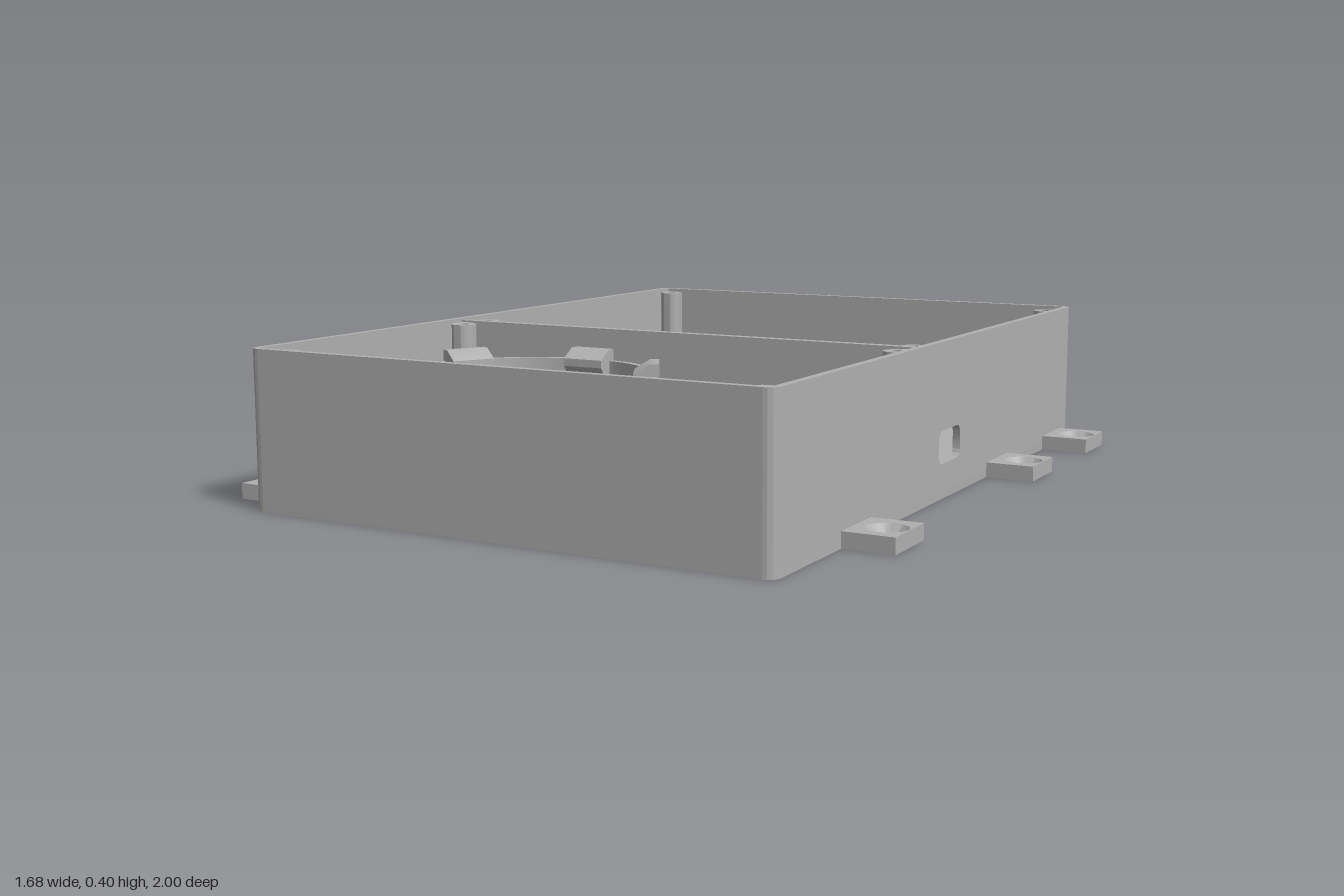
import * as THREE from 'three';
import { toCreasedNormals } from 'three/addons/utils/BufferGeometryUtils.js';

const W = 0.71, L = 1, H = 0.4, T = 0.02, R = 0.03, FLOOR = 0.02;

export function createModel() {
  const grey = new THREE.MeshStandardMaterial({ color: 0xb0b0b0 });
  grey.name = 'grey plastic';
  const model = new THREE.Group();
  model.name = 'enclosure';

  const add = (name, geo, x = 0, y = 0, z = 0, ry = 0) => {
    const mesh = new THREE.Mesh(toCreasedNormals(geo, 0.6), grey);
    mesh.name = name;
    mesh.position.set(x, y, z);
    mesh.rotation.y = ry;
    model.add(mesh);
    return mesh;
  };
  const extrude = (shape, depth) =>
    new THREE.ExtrudeGeometry(shape, { depth, bevelEnabled: false, curveSegments: 24 });
  // plan shape raised along y (shape y becomes -z)
  const raise = (shape, height) => extrude(shape, height).rotateX(-Math.PI / 2);

  const rounded = (x0, y0, x1, y1, r, Type = THREE.Shape) => {
    const s = new Type();
    s.absarc(x1 - r, y1 - r, r, 0, Math.PI / 2);
    s.absarc(x0 + r, y1 - r, r, Math.PI / 2, Math.PI);
    s.absarc(x0 + r, y0 + r, r, Math.PI, Math.PI * 1.5);
    s.absarc(x1 - r, y0 + r, r, Math.PI * 1.5, Math.PI * 2);
    s.closePath();
    return s;
  };
  const rect = (x0, y0, x1, y1, Type = THREE.Shape) => {
    const s = new Type();
    s.moveTo(x0, y0).lineTo(x1, y0).lineTo(x1, y1).lineTo(x0, y1).closePath();
    return s;
  };
  const circle = (x, y, r, Type = THREE.Path) => {
    const s = new Type();
    s.absarc(x, y, r, 0, Math.PI * 2);
    return s;
  };
  const withHoles = (shape, ...holes) => {
    shape.holes.push(...holes);
    return shape;
  };

  // Floor
  add('floor', raise(rounded(-W, -L, W, L, R), FLOOR));

  // Walls with their openings
  const wall = (half, ...holes) => extrude(withHoles(rect(-half, FLOOR, half, H), ...holes), T);
  const side = L - R, end = W - R;
  add('frontWall', wall(end), 0, 0, L - T);
  add('backWall', wall(end, rect(-0.28, 0.085, -0.14, 0.21, THREE.Path)), 0, 0, -L);
  add('leftWall', wall(side, rounded(-0.085, 0.09, 0.065, 0.175, 0.025, THREE.Path)),
    W - T, 0, 0, Math.PI / 2);
  add('rightWall', wall(side, circle(0.01, 0.185, 0.042), circle(-0.6, 0.09, 0.036)),
    -W, 0, 0, Math.PI / 2);
  add('divider', extrude(withHoles(rect(-W + T, FLOOR, W - T, H - 0.005), circle(0.4, 0.155, 0.055)), 0.025),
    0, 0, 0.15);

  // Rounded corners and screw posts share the same quarter turns
  const turn = (sx, sz) => (sz < 0 ? (sx > 0 ? 0 : Math.PI / 2) : (sx > 0 ? -Math.PI / 2 : Math.PI));
  const corner = new THREE.Shape();
  corner.absarc(0, 0, R, 0, Math.PI / 2);
  corner.absarc(0, 0, R - T, Math.PI / 2, 0, true);
  corner.closePath();
  const post = new THREE.Shape();
  post.absarc(0, 0, 0.034, Math.PI / 2, Math.PI * 2);
  post.lineTo(0.05, 0).lineTo(0.05, 0.05).lineTo(0, 0.05).closePath();
  post.holes.push(circle(0, 0, 0.014));
  for (const sx of [-1, 1]) {
    for (const sz of [-1, 1])
      add('corner', raise(corner, H - FLOOR), sx * end, FLOOR, sz * side, turn(sx, sz));
    for (const [z, sz] of [[-0.94, -1], [0.11, 1], [0.22, -1], [0.935, 1]])
      add('screwPost', raise(post, H - FLOOR - 0.01), sx * 0.648, FLOOR, z, turn(sx, sz));
  }

  // Mounting tabs with countersunk holes
  const tabs = [[1, -0.835], [1, -0.354], [1, 0.59], [-1, -0.835], [-1, -0.394], [-1, 0.82]];
  const sink = [[0.05, 0.04], [0.024, 0.012], [0.024, 0], [0.05, 0]].map(p => new THREE.Vector2(...p));
  for (const [s, z] of tabs) {
    const x = s * 0.786;
    const plate = withHoles(rect(-0.08, -0.083, 0.054, 0.083), circle(0, 0, 0.05));
    add('mountingTab', raise(plate, 0.04), x, 0, z, s > 0 ? 0 : Math.PI);
    add('countersink', new THREE.LatheGeometry(sink, 32), x, 0, z);
  }

  // Low frames on the floor
  const frame = (x0, z0, x1, z1) => add('trayFrame', raise(withHoles(rect(x0, -z1, x1, -z0),
    rect(x0 + 0.012, -z1 + 0.012, x1 - 0.012, -z0 - 0.012, THREE.Path)), 0.02), 0, FLOOR, 0);
  frame(0, -0.967, 0.613, -0.06);
  frame(0.2, 0.207, 0.613, 0.94);

  // Board standoffs
  for (const [x, z] of [[-0.58, -0.76], [-0.08, -0.745], [-0.53, -0.214], [-0.237, -0.214]])
    add('standoff', raise(withHoles(circle(0, 0, 0.033, THREE.Shape), circle(0, 0, 0.016)), 0.06), x, FLOOR, z);

  // Support blocks beside the side openings
  add('leftBlock', new THREE.BoxGeometry(0.105, 0.06, 0.065), 0.595, FLOOR + 0.03, 0.003);
  add('rightBlock', new THREE.BoxGeometry(0.063, 0.04, 0.1), -0.645, FLOOR + 0.02, 0.572);

  // Round holder: pedestal, split ring and six clips
  const cx = -0.21, cz = 0.574;
  add('pedestal', new THREE.CylinderGeometry(0.218, 0.218, 0.28, 64), cx, FLOOR + 0.14, cz);
  const gap = 0.125;
  const arc = new THREE.Shape();
  arc.absarc(0, 0, 0.344, gap, Math.PI - gap);
  arc.absarc(0, 0, 0.326, Math.PI - gap, gap, true);
  arc.closePath();
  for (const a of [0, Math.PI]) add('holderRing', raise(arc, 0.3), cx, FLOOR, cz, a);

  const clip = new THREE.Shape([[0.343, 0.24], [0.343, 0.35], [0.32, 0.35], [0.28, 0.325], [0.28, 0.305], [0.327, 0.24]]
    .map(p => new THREE.Vector2(...p)));
  for (const deg of [29, 90, 151, 209, 270, 331])
    add('holderClip', extrude(clip, 0.116).translate(0, 0, -0.058), cx, 0, cz, THREE.MathUtils.degToRad(deg));

  return model;
}
